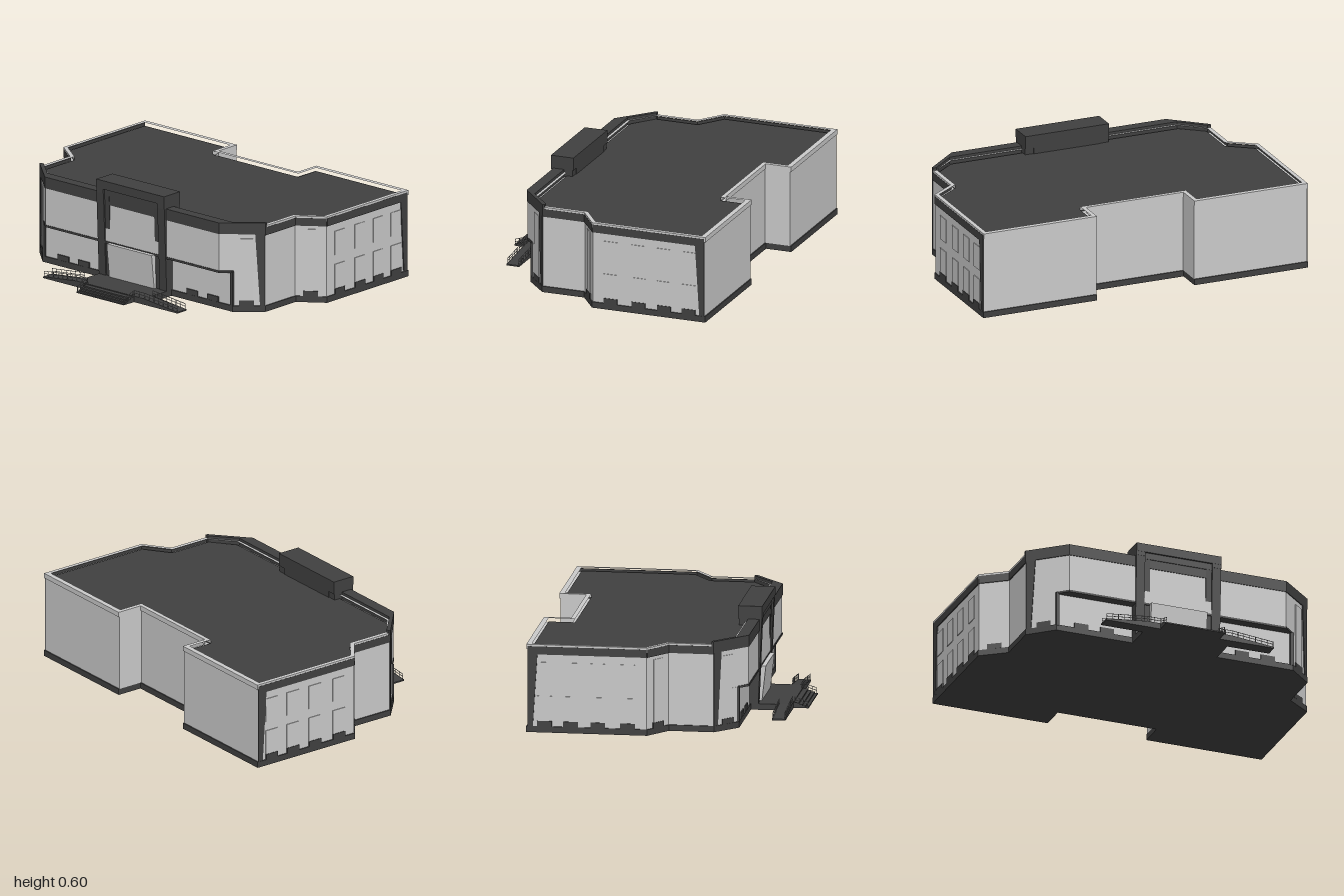
import * as THREE from 'three';

const mat = (name, color, side = THREE.FrontSide) => {
  const m = new THREE.MeshStandardMaterial({ color, side });
  m.name = name;
  return m;
};

export function createModel() {
  const root = new THREE.Group();
  root.name = 'building';
  const light = mat('pale wall', 0xcacaca);
  const dark = mat('dark cladding', 0x404040);
  const steel = mat('rail grey', 0x808080);

  const add = (name, geo, material) => {
    const m = new THREE.Mesh(geo, material);
    m.name = name;
    root.add(m);
    return m;
  };
  const box = (name, x0, x1, y0, y1, z0, z1, material) => {
    const g = new THREE.BoxGeometry(x1 - x0, y1 - y0, z1 - z0);
    g.translate((x0 + x1) / 2, (y0 + y1) / 2, (z0 + z1) / 2);
    return add(name, g, material);
  };
  // Half outline (x, z) from back to front, mirrored into a closed plan
  const full = half => [...half, ...half.slice().reverse().map(([x, z]) => [-x, z])];
  const planShape = pts => new THREE.Shape(pts.map(([x, z]) => new THREE.Vector2(x, -z)));
  const slab = (name, pts, y0, y1, material, hole) => {
    const s = planShape(pts);
    if (hole) s.holes.push(new THREE.Path(hole.map(([x, z]) => new THREE.Vector2(x, -z))));
    const g = new THREE.ExtrudeGeometry(s, { depth: y1 - y0, bevelEnabled: false });
    g.rotateX(-Math.PI / 2);
    g.translate(0, y0, 0);
    return add(name, g, material);
  };
  // Thin plate on the wall running p to q; points are (distance along wall, height)
  const onWall = (name, p, q, pts, depth, material) => {
    const a = new THREE.Vector3(p[0], 0, p[1]), b = new THREE.Vector3(q[0], 0, q[1]);
    const u = b.clone().sub(a).normalize(), up = new THREE.Vector3(0, 1, 0);
    const g = new THREE.ExtrudeGeometry(new THREE.Shape(pts.map(v => new THREE.Vector2(...v))),
      { depth, bevelEnabled: false });
    g.applyMatrix4(new THREE.Matrix4().makeBasis(u, up, u.clone().cross(up)).setPosition(a));
    add(name, g, material);
  };
  const bothWalls = (name, p, q, pts, depth, material) => {
    const len = Math.hypot(q[0] - p[0], q[1] - p[1]);
    onWall(name + 'Left', p, q, pts, depth, material);
    onWall(name + 'Right', [-q[0], q[1]], [-p[0], p[1]],
      pts.map(([s, y]) => [len - s, y]), depth, material);
  };
  const rect = (s0, s1, y0, y1) => [[s0, y0], [s1, y0], [s1, y1], [s0, y1]];

  // Plinth, walls and roof
  const back = [[0.3, -0.585], [0.3, -0.738], [0.993, -0.738], [0.993, -0.06], [0.85, 0.045], [0.85, 0.3]];
  slab('plinth', full([[0.3, -0.592], [0.3, -0.745], [1, -0.745], [1, -0.057], [0.857, 0.048],
    [0.857, 0.303], [0.72, 0.428]]), 0, 0.035, dark);
  slab('lowerWalls', full([...back, [0.718, 0.42]]), 0.035, 0.235, light);
  slab('upperWalls', full([...back, [0.657, 0.472]]), 0.235, 0.478, light);
  const inner = full([[0.325, -0.565], [0.325, -0.715], [0.973, -0.715], [0.973, -0.068],
    [0.83, 0.036], [0.83, 0.29], [0.7, 0.395]]);
  slab('roof', inner, 0.478, 0.487, dark);
  slab('parapet', full([[0.3, -0.59], [0.3, -0.745], [0.998, -0.745], [0.998, -0.057], [0.855, 0.047],
    [0.855, 0.298], [0.71, 0.412]]), 0.478, 0.507, light, inner);

  // Dark crown round the front, open at the back
  const crownOuter = [[0.857, 0.29], [0.857, 0.302], [0.66, 0.476]];
  const crownInner = [[0.7, 0.411], [0.835, 0.29]];
  slab('crown', [...crownOuter, ...crownOuter.slice().reverse().map(([x, z]) => [-x, z]),
    ...crownInner.slice().reverse().map(([x, z]) => [-x, z]), ...crownInner], 0.457, 0.523, dark);

  // Side walls: cornice bands, tapered corner columns and windows
  const sideP = [0.993, -0.06], sideQ = [0.993, -0.738];
  const diagP = [0.85, 0.045], midP = [0.85, 0.3], frontP = [0.657, 0.472];
  const dist = (a, b) => Math.hypot(a[0] - b[0], a[1] - b[1]);
  for (const [p, q] of [[sideP, sideQ], [diagP, sideP], [midP, diagP]])
    bothWalls('corniceBand', p, q, rect(0, dist(p, q), 0.45, 0.496), 0.006, dark);
  bothWalls('rearColumn', sideP, sideQ,
    [[0.648, 0.035], [0.678, 0.035], [0.678, 0.45], [0.622, 0.45]], 0.006, dark);
  const chamfer = dist(frontP, midP);
  bothWalls('frontColumn', frontP, midP,
    [[chamfer - 0.028, 0.035], [chamfer, 0.035], [chamfer, 0.457], [chamfer - 0.055, 0.457]], 0.006, dark);
  for (const z of [0.168, 0.338, 0.493, 0.642]) {
    const s = z - 0.06;
    bothWalls('windowBase', sideP, sideQ, rect(s - 0.042, s + 0.042, 0.035, 0.066), 0.007, dark);
    bothWalls('lowerWindow', sideP, sideQ, rect(s - 0.042, s + 0.042, 0.066, 0.21), 0.004, light);
    bothWalls('upperWindow', sideP, sideQ, rect(s - 0.042, s + 0.042, 0.265, 0.405), 0.004, light);
  }

  // Tall narrow windows on the slanted walls
  for (const [p, q, c] of [[diagP, sideP, 0.088], [frontP, midP, 0.155]]) {
    bothWalls('tallWindow', p, q, rect(c - 0.035, c + 0.035, 0.066, 0.43), 0.004, light);
    bothWalls('tallWindowBase', p, q, rect(c - 0.042, c + 0.042, 0.035, 0.066), 0.007, dark);
  }

  // Recessed ground floor front: soffit, posts and window bases
  slab('soffit', full([[0.722, 0.418], [0.66, 0.476]]), 0.228, 0.24, dark);
  for (const s of [-1, 1]) {
    const post = s * 0.711;
    box('recessPost', post - 0.01, post + 0.01, 0.03, 0.235, 0.405, 0.43, dark);
    for (const x of [0.41, 0.567])
      box('frontWindowBase', s * x - 0.042, s * x + 0.042, 0.035, 0.066, 0.415, 0.427, dark);
  }

  // Entrance portal with legs leaning slightly forward
  const lean = (name, x0, x1, y0, y1, z0, zLow, zHigh) => {
    const g = new THREE.BoxGeometry(x1 - x0, y1 - y0, 1);
    g.translate((x0 + x1) / 2, (y0 + y1) / 2, 0);
    const pos = g.attributes.position;
    for (let i = 0; i < pos.count; i++)
      pos.setZ(i, pos.getZ(i) < 0 ? z0 : pos.getY(i) > (y0 + y1) / 2 ? zHigh : zLow);
    g.computeVertexNormals();
    return g && add(name, g, name === 'vestibule' ? light : dark);
  };
  for (const s of [-1, 1]) {
    const span = (a, b) => s > 0 ? [a, b] : [-b, -a];
    lean('portalLeg', ...span(0.204, 0.257), 0, 0.53, 0.36, 0.468, 0.49);
    lean('portalInnerLeg', ...span(0.17, 0.205), 0, 0.55, 0.36, 0.46, 0.481);
  }
  box('portalInnerLintel', -0.206, 0.206, 0.51, 0.55, 0.36, 0.481, dark);
  box('portalCanopy', -0.257, 0.257, 0.548, 0.598, 0.355, 0.492, dark);
  for (const s of [-1, 1])
    box('portalShoulder', s * 0.231 - 0.026, s * 0.231 + 0.026, 0.523, 0.55, 0.355, 0.491, dark);
  box('portalBack', -0.206, 0.206, 0.478, 0.55, 0.355, 0.37, dark);
  lean('vestibule', -0.17, 0.17, 0.035, 0.235, 0.41, 0.478, 0.5);

  // Landing, steps and ramps
  box('landing', -0.257, 0.257, 0, 0.035, 0.42, 0.66, dark);
  [[0.69, 0.03], [0.71, 0.022], [0.728, 0.014], [0.745, 0.007]].forEach(([z, y]) =>
    box('step', -0.18, 0.18, 0, y, 0.655, z, dark));
  for (const s of [-1, 1]) {
    const pts = [[0.255, 0], [0.51, 0], [0.51, 0.008], [0.255, 0.035]];
    const g = new THREE.ExtrudeGeometry(new THREE.Shape(pts.map(([x, y]) => new THREE.Vector2(s * x, y))),
      { depth: 0.077, bevelEnabled: false });
    g.translate(0, 0, 0.583);
    add('ramp', g, dark);
  }

  // Handrails beside the ramps and steps
  const bar = (name, a, b) => add(name, new THREE.TubeGeometry(
    new THREE.LineCurve3(new THREE.Vector3(...a), new THREE.Vector3(...b)), 1, 0.0018, 5), steel);
  const rail = (a, b, n) => {
    const at = t => a.map((v, i) => v + (b[i] - v) * t);
    for (const h of [0.018, 0.033])
      bar('handrail', [a[0], a[1] + h, a[2]], [b[0], b[1] + h, b[2]]);
    for (let i = 0; i <= n; i++) {
      const [x, y, z] = at(i / n);
      bar('railPost', [x, y, z], [x, y + 0.034, z]);
    }
  };
  for (const s of [-1, 1]) {
    rail([s * 0.257, 0.034, 0.588], [s * 0.505, 0.008, 0.588], 7);
    rail([s * 0.257, 0.034, 0.655], [s * 0.505, 0.008, 0.655], 7);
    rail([s * 0.176, 0.034, 0.655], [s * 0.257, 0.034, 0.655], 2);
    rail([s * 0.176, 0.03, 0.665], [s * 0.176, 0.005, 0.74], 3);
  }
  return root;
}
